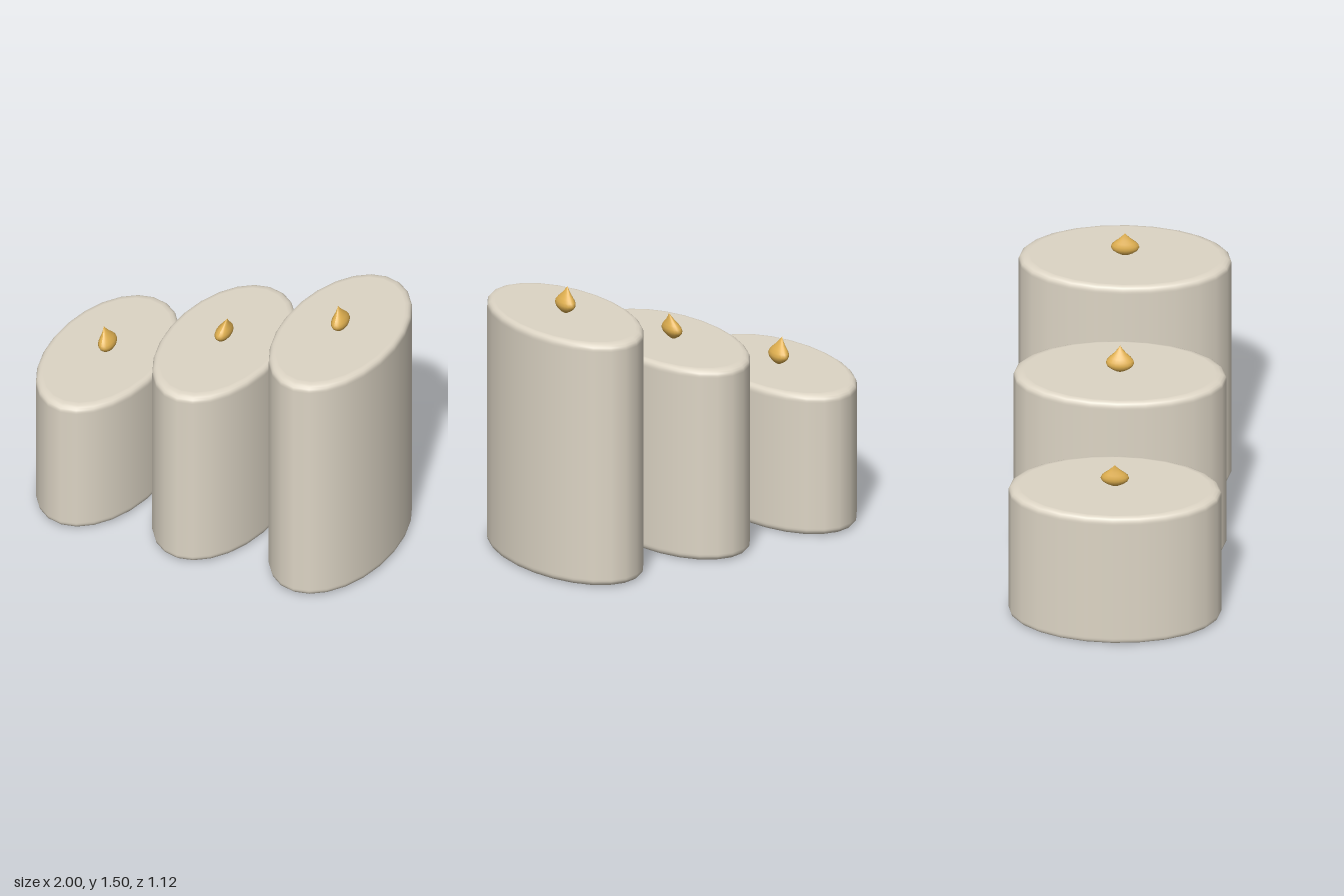
import * as THREE from 'three';

const RX = 0.318, RZ = 0.56; // oval half widths
const wax = new THREE.MeshStandardMaterial({ color: 0xddd5c5 });
const gold = new THREE.MeshStandardMaterial({ color: 0xe0b050 });

// Oval pillar with softly rounded rims
function candleBody(height) {
  const bevelR = 0.09, bevelY = 0.03, steps = 4;
  const rim = [];
  for (let i = 0; i <= steps; i++) {
    const a = (i / steps) * Math.PI / 2;
    rim.push([1 - bevelR + bevelR * Math.cos(a), bevelY * (1 - Math.sin(a))]);
  }
  const pts = [
    [0, 0], [0.9, 0],
    ...rim.slice().reverse(),
    [1, bevelY + 0.01], [1, height - bevelY - 0.01],
    ...rim.map(([r, y]) => [r, height - y]),
    [0.9, height], [0, height],
  ].map(([r, y]) => new THREE.Vector2(r, y));
  const geo = new THREE.LatheGeometry(pts, 24);
  geo.scale(RX, 1, RZ);
  const mesh = new THREE.Mesh(geo, wax);
  mesh.name = 'candleBody';
  return mesh;
}

// Teardrop flame whose tip bends sideways
function flame(lean) {
  const h = 0.148;
  const pts = [
    [0, 0], [0.3, 0.008], [0.64, 0.022], [0.9, 0.038], [1, 0.054], [0.94, 0.07],
    [0.74, 0.087], [0.46, 0.106], [0.2, 0.128], [0, h],
  ].map(([r, y]) => new THREE.Vector2(r, y));
  const geo = new THREE.LatheGeometry(pts, 20);
  geo.scale(0.042, 1, 0.075);
  const p = geo.attributes.position;
  for (let i = 0; i < p.count; i++) {
    const t = p.getY(i) / h;
    p.setX(i, p.getX(i) + lean * (1.3 * t * t - 0.3 * (1 - t)));
  }
  geo.computeVertexNormals();
  const mesh = new THREE.Mesh(geo, gold);
  mesh.name = 'flame';
  return mesh;
}

export function createModel() {
  const model = new THREE.Group();
  model.name = 'candles';
  const candles = [
    ['shortCandle', -0.682, 0.785, -0.018],
    ['mediumCandle', 0, 1.068, 0.015],
    ['tallCandle', 0.682, 1.355, -0.011],
  ];
  for (const [name, x, height, lean] of candles) {
    const candle = new THREE.Group();
    candle.name = name;
    const fire = flame(lean);
    fire.position.y = height;
    candle.add(candleBody(height), fire);
    candle.position.x = x;
    model.add(candle);
  }
  return model;
}
